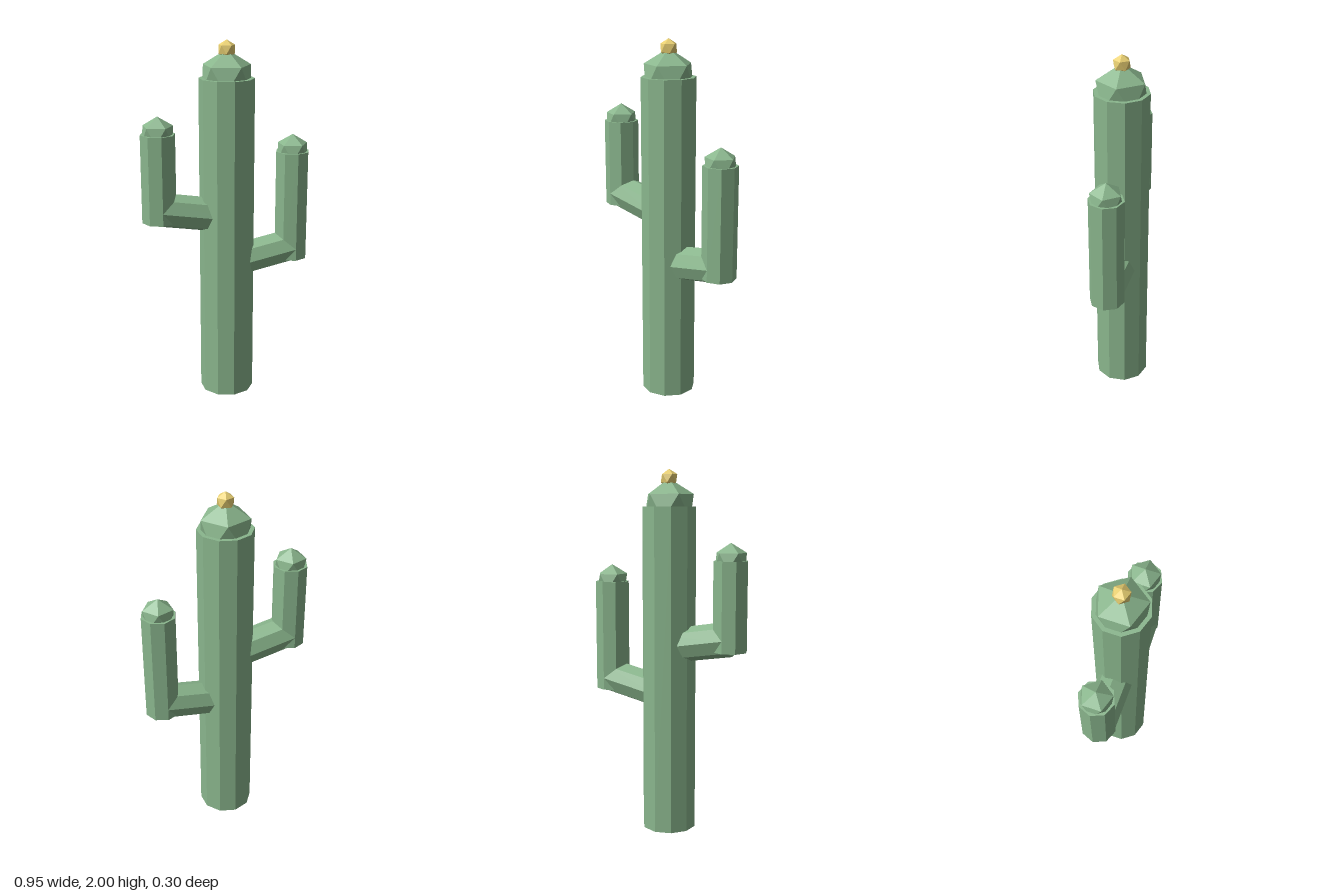
import * as THREE from 'three';

const green = new THREE.MeshStandardMaterial({ color: 0x8ab68d, flatShading: true });
const yellow = new THREE.MeshStandardMaterial({ color: 0xe8cf72, flatShading: true });

function add(parent, name, geometry, material, x, y) {
  const mesh = new THREE.Mesh(geometry, material);
  mesh.name = name;
  mesh.position.set(x, y, 0);
  parent.add(mesh);
  return mesh;
}

// Icosahedron standing on a corner, with one upper-ring corner towards +x
function pointedBall(radius) {
  const golden = (1 + Math.sqrt(5)) / 2;
  return new THREE.IcosahedronGeometry(radius, 0).rotateZ(-Math.atan(1 / golden));
}

// Sloping branch from the trunk axis, then an upright stem with a rounded tip
function makeArm(name, side, bottom, top) {
  const arm = new THREE.Group();
  arm.name = name;
  const radius = 0.095, reach = 0.38, slope = THREE.MathUtils.degToRad(10);
  const rise = reach * Math.tan(slope);

  const branch = add(arm, 'branch',
    new THREE.CylinderGeometry(radius, radius, reach / Math.cos(slope), 8),
    green, side * reach / 2, bottom + rise / 2);
  branch.rotation.z = -side * (Math.PI / 2 - slope);

  add(arm, 'stem', new THREE.CylinderGeometry(radius, radius, top - bottom, 8),
    green, side * reach, (top + bottom) / 2);
  add(arm, 'armTip', pointedBall(radius), green, side * reach, top);
  return arm;
}

export function createModel() {
  const cactus = new THREE.Group();
  cactus.name = 'cactus';

  // Trunk with its crown and flower
  add(cactus, 'trunk', new THREE.CylinderGeometry(0.15, 0.15, 1.8, 10), green, 0, 0.9);
  add(cactus, 'crown', pointedBall(0.15), green, 0, 1.8);
  add(cactus, 'flower', pointedBall(0.05), yellow, 0, 1.95);

  // Arms at different heights
  cactus.add(makeArm('leftArm', 1, 0.762, 1.38));
  cactus.add(makeArm('rightArm', -1, 1.037, 1.52));
  return cactus;
}
